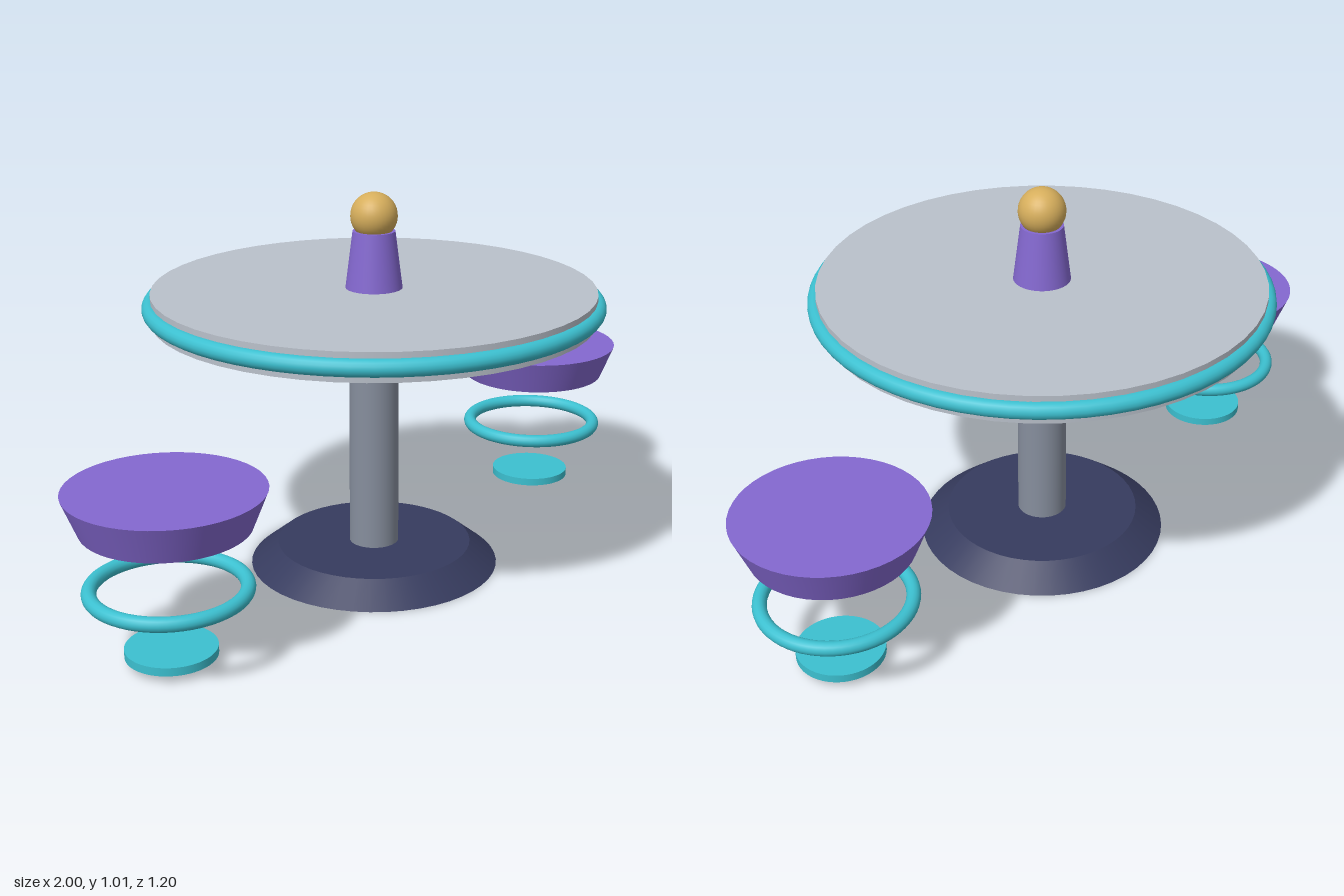
import * as THREE from 'three';

const mat = (name, color) => {
  const m = new THREE.MeshStandardMaterial({ color });
  m.name = name;
  return m;
};

export function createModel() {
  const navy = mat('navy', 0x363b5e);
  const steel = mat('steel', 0x868e9d);
  const paleGrey = mat('pale grey', 0xbac1cb);
  const teal = mat('teal', 0x3cc0d0);
  const purple = mat('purple', 0x8468d0);
  const gold = mat('gold', 0xd6ae5c);

  const model = new THREE.Group();
  model.name = 'tableWithStools';

  const add = (parent, name, geometry, material, y) => {
    const mesh = new THREE.Mesh(geometry, material);
    mesh.name = name;
    mesh.position.y = y;
    parent.add(mesh);
    return mesh;
  };
  // round solid between two heights
  const drum = (parent, name, material, rTop, rBottom, y0, y1) =>
    add(parent, name, new THREE.CylinderGeometry(rTop, rBottom, y1 - y0, 48), material, (y0 + y1) / 2);
  // horizontal ring
  const ring = (parent, name, material, radius, tube, y) =>
    add(parent, name, new THREE.TorusGeometry(radius, tube, 16, 64).rotateX(Math.PI / 2), material, y);

  // table
  drum(model, 'base', navy, 0.26, 0.333, 0, 0.058);
  drum(model, 'column', steel, 0.064, 0.066, 0.058, 0.7);
  drum(model, 'tabletop', paleGrey, 0.576, 0.576, 0.691, 0.764);
  ring(model, 'tabletopRim', teal, 0.576, 0.022, 0.727);

  // centrepiece
  drum(model, 'centrepiece', purple, 0.055, 0.074, 0.764, 0.913);
  add(model, 'centrepieceBall', new THREE.SphereGeometry(0.061, 32, 20), gold, 0.952);

  // stools on both sides
  for (const [side, sign] of [['left', 1], ['right', -1]]) {
    const stool = new THREE.Group();
    stool.name = side + 'Stool';
    stool.position.x = sign * 0.76;
    drum(stool, 'seat', purple, 0.24, 0.203, 0.347, 0.44);
    ring(stool, 'footRing', teal, 0.186, 0.018, 0.19);
    drum(stool, 'footDisc', teal, 0.112, 0.112, 0.02, 0.041);
    model.add(stool);
  }
  return model;
}
